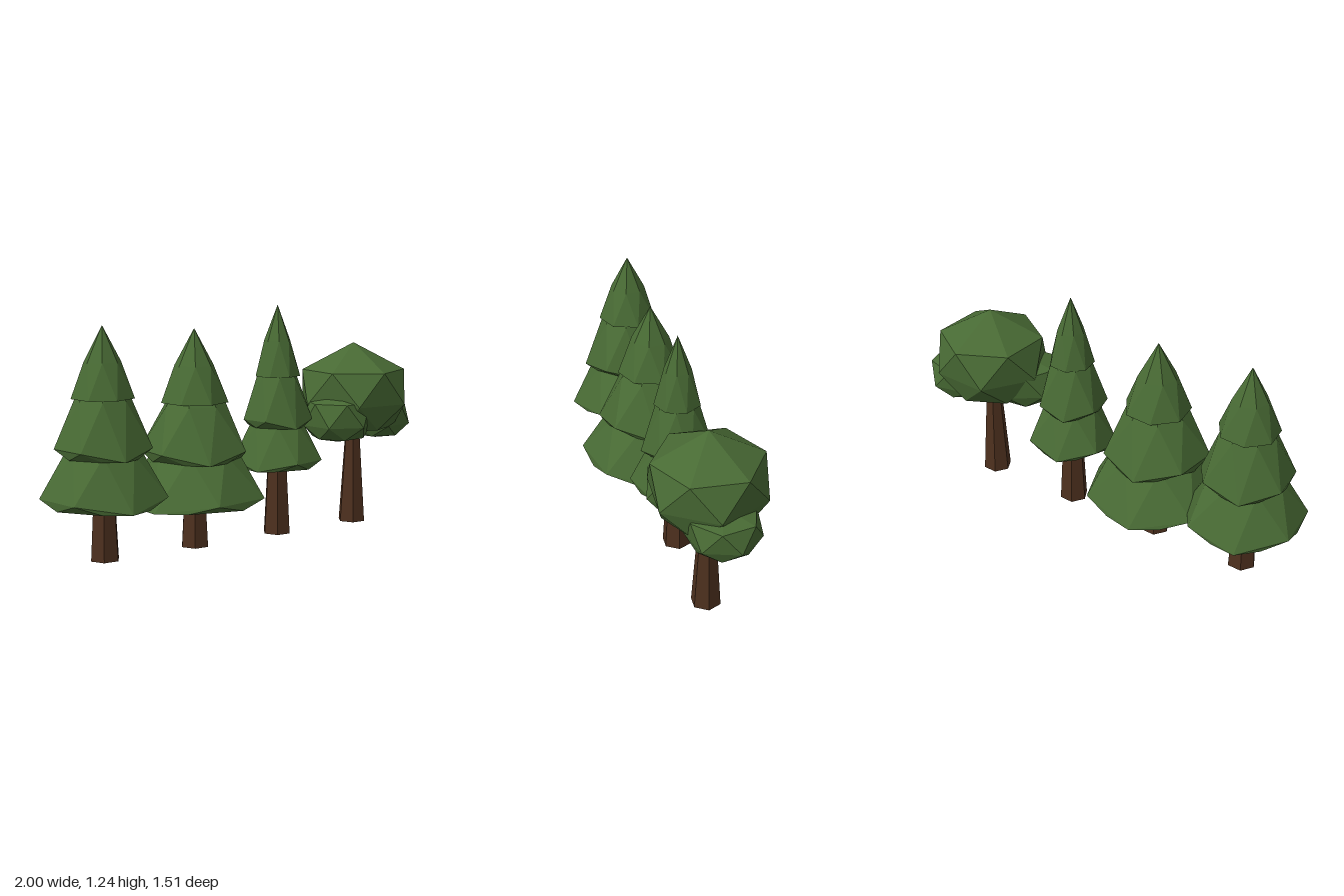
import * as THREE from 'three';

const rad = THREE.MathUtils.degToRad;

// Faceted walls through rings listed bottom to top; each ring is turned half a
// step against the one below, so the walls become zigzag triangles.
// ring = [radius, y, lift of every second corner]
function facetedWalls(rings, sides, turn) {
  const pos = [];
  const at = (k, i) => {
    const [r, y, lift = 0] = rings[k];
    const a = rad(turn + ((i + k / 2) * 360) / sides);
    return [Math.sin(a) * r, y + ((i % sides) % 2 ? 0 : lift), Math.cos(a) * r];
  };
  for (let k = 0; k < rings.length - 1; k++) {
    for (let i = 0; i < sides; i++) {
      if (rings[k][0] > 0) pos.push(...at(k, i), ...at(k, i + 1), ...at(k + 1, i));
      if (rings[k + 1][0] > 0) pos.push(...at(k + 1, i), ...at(k, i + 1), ...at(k + 1, i + 1));
    }
  }
  const g = new THREE.BufferGeometry();
  g.setAttribute('position', new THREE.Float32BufferAttribute(pos, 3));
  g.computeVertexNormals();
  return g;
}

// Flat polygon facing down
function underside(r, sides, turn) {
  return new THREE.CircleGeometry(r, sides, rad(90 - turn)).rotateX(Math.PI / 2);
}

// Squashed six-sided leafy ball
function crown(r, h, shoulder, base, turn) {
  return facetedWalls([
    [0, -base], [r * 0.74, -h * 0.8], [r, -h * 0.27], [r * 0.92, shoulder], [0, h],
  ], 6, turn);
}

export function createModel() {
  const material = (name, color) => {
    const m = new THREE.MeshStandardMaterial({ color, flatShading: true });
    m.name = name;
    return m;
  };
  const leaf = material('leafGreen', 0x486a34);
  const shade = material('undersideGreen', 0x1e3c20);
  const bark = material('barkBrown', 0x4d301e);
  const wood = material('cutWood', 0x8a5e40);

  const model = new THREE.Group();
  model.name = 'treeRow';

  const add = (parent, name, geometry, mat, x = 0, y = 0, z = 0) => {
    const m = new THREE.Mesh(geometry, mat);
    m.name = name;
    m.position.set(x, y, z);
    parent.add(m);
  };

  // Tapered six-sided trunk with a cut end, standing on the ground
  const tree = (name, x, z, height, topRadius) => {
    const g = new THREE.Group();
    g.name = name;
    g.position.set(x, 0, z);
    add(g, 'trunk', new THREE.CylinderGeometry(topRadius, 0.078, height, 6, 1, true), bark, 0, height / 2, 0);
    add(g, 'trunkEnd', underside(0.078, 6, 0), wood);
    model.add(g);
    return g;
  };

  // Seven-sided skirt of needles; a ragged one has a raised rim above a narrow band
  const skirt = (parent, level, { r, y, top, lift = 0, turn }) => {
    const cone = [[r, y, lift], [r * 0.58, (y + lift / 2 + top) / 2], [0, top]];
    const baseRadius = r - lift * 0.8;
    const baseTurn = lift ? turn - 180 / 7 : turn;
    add(parent, level + 'Skirt', facetedWalls(lift ? [[baseRadius, y], ...cone] : cone, 7, baseTurn), leaf);
    add(parent, level + 'SkirtUnderside', underside(baseRadius, 7, baseTurn), shade, 0, y, 0);
  };

  // Three conifers, skirts listed from the lowest up
  const conifers = [
    { name: 'frontConifer', x: -0.687, z: 0.453, skirts: [
      { r: 0.327, y: 0.285, lift: 0.045, top: 0.8, turn: -23 },
      { r: 0.25, y: 0.53, lift: 0.045, top: 1.07, turn: -23 },
      { r: 0.162, y: 0.82, top: 1.18, turn: -23 }] },
    { name: 'middleConifer', x: -0.232, z: 0.158, skirts: [
      { r: 0.38, y: 0.235, lift: 0.04, top: 0.76, turn: 70 },
      { r: 0.285, y: 0.465, lift: 0.05, top: 1.0, turn: -36 },
      { r: 0.178, y: 0.76, top: 1.14, turn: -23 }] },
    { name: 'backConifer', x: 0.217, z: -0.143, skirts: [
      { r: 0.245, y: 0.37, lift: 0.04, top: 0.82, turn: 74 },
      { r: 0.19, y: 0.59, lift: 0.04, top: 1.1, turn: -23 },
      { r: 0.123, y: 0.86, top: 1.24, turn: -23 }] },
  ];
  for (const c of conifers) {
    const g = tree(c.name, c.x, c.z, 0.5, 0.05);
    c.skirts.forEach((s, i) => skirt(g, ['lower', 'middle', 'top'][i], s));
  }

  // Broadleaf tree: a large flat-bottomed crown and two smaller side clumps
  const b = tree('broadleafTree', 0.662, -0.445, 0.62, 0.035);
  add(b, 'mainCrown', crown(0.31, 0.26, 0.11, 0.208, 0), leaf, 0, 0.75, 0);
  add(b, 'leftClump', crown(0.192, 0.12, 0.08, 0.12, 15), leaf, 0.146, 0.575, -0.125);
  add(b, 'rightClump', crown(0.195, 0.133, 0.09, 0.133, 40), leaf, -0.1, 0.607, 0.155);

  return model;
}
